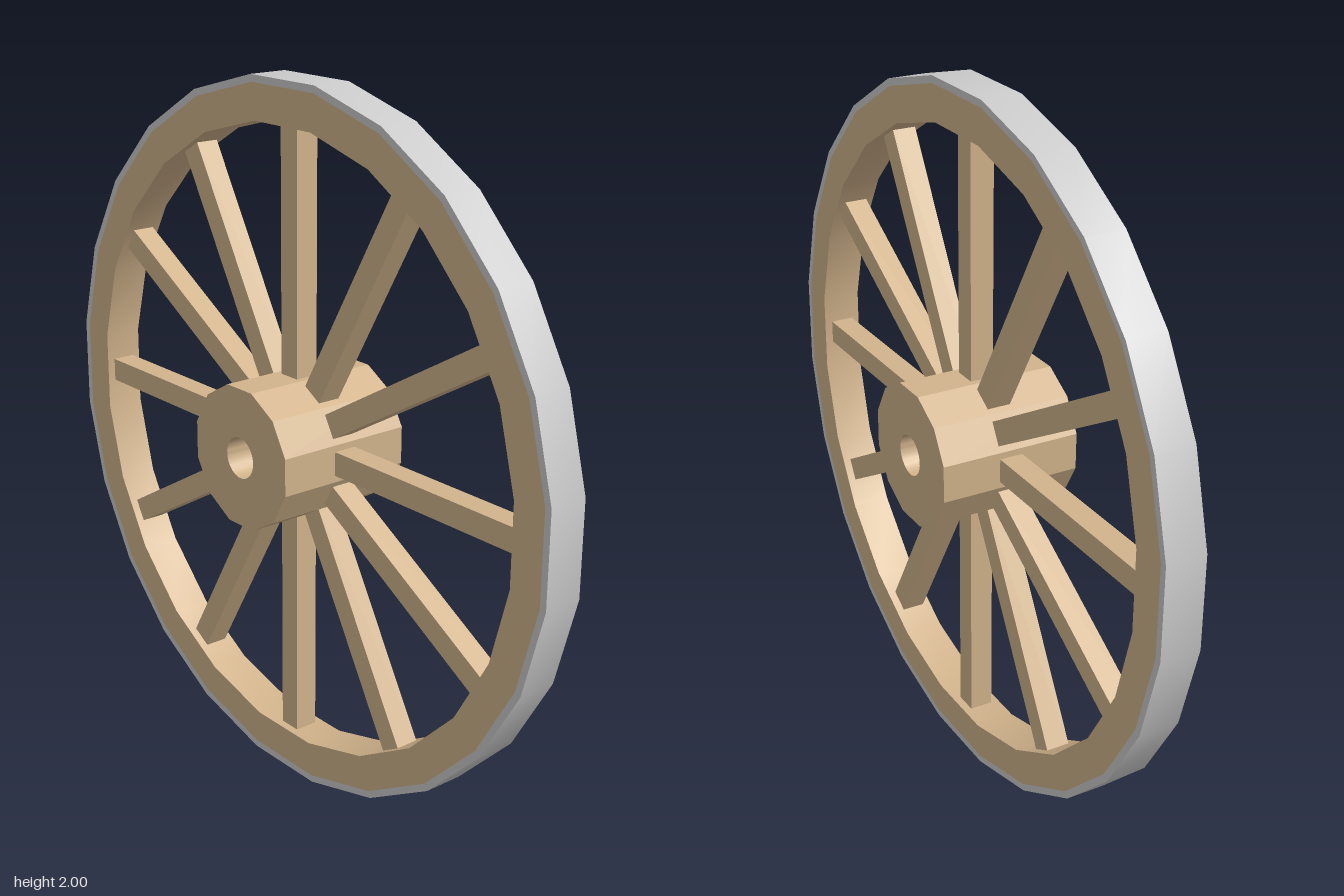
import * as THREE from 'three';
import { toCreasedNormals } from 'three/addons/utils/BufferGeometryUtils.js';

const wood = new THREE.MeshStandardMaterial({ color: 0xd2b48c });
const iron = new THREE.MeshStandardMaterial({ color: 0xcccccc });

// Regular polygon with flats facing +x and +y, sized by its flat-to-centre distance
function polygon(apothem, sides) {
  const radius = apothem / Math.cos(Math.PI / sides);
  return Array.from({ length: sides }, (_, i) => {
    const a = ((i + 0.5) / sides) * Math.PI * 2;
    return new THREE.Vector2(radius * Math.cos(a), radius * Math.sin(a));
  });
}

// Polygonal ring extruded along z and centred on z = 0
function ring(name, outer, outerSides, inner, innerSides, depth, material) {
  const shape = new THREE.Shape(polygon(outer, outerSides));
  shape.holes.push(new THREE.Path(polygon(inner, innerSides)));
  const geometry = new THREE.ExtrudeGeometry(shape, { depth, bevelEnabled: false });
  geometry.translate(0, 0, -depth / 2);
  const mesh = new THREE.Mesh(toCreasedNormals(geometry, 0.4), material);
  mesh.name = name;
  return mesh;
}

export function createModel() {
  const wheel = new THREE.Group();
  wheel.name = 'wagonWheel';

  // Iron tyre around the wooden rim
  wheel.add(ring('tyre', 1, 24, 0.98, 24, 0.115, iron));
  wheel.add(ring('rim', 0.98, 24, 0.88, 24, 0.115, wood));

  // Faceted hub with a round axle bore
  wheel.add(ring('hub', 0.197, 12, 0.058, 24, 0.41, wood));

  // Twelve square spokes, let into the hub and the rim
  const spokes = new THREE.Group();
  spokes.name = 'spokes';
  const inner = 0.17, outer = 0.9;
  const spokeGeometry = new THREE.BoxGeometry(outer - inner, 0.068, 0.068);
  spokeGeometry.translate((inner + outer) / 2, 0, 0);
  for (let i = 0; i < 12; i++) {
    const spoke = new THREE.Mesh(spokeGeometry, wood);
    spoke.name = 'spoke' + (i + 1);
    spoke.rotation.z = (i * Math.PI) / 6;
    spokes.add(spoke);
  }
  wheel.add(spokes);

  wheel.position.y = 1;
  const model = new THREE.Group();
  model.add(wheel);
  return model;
}
